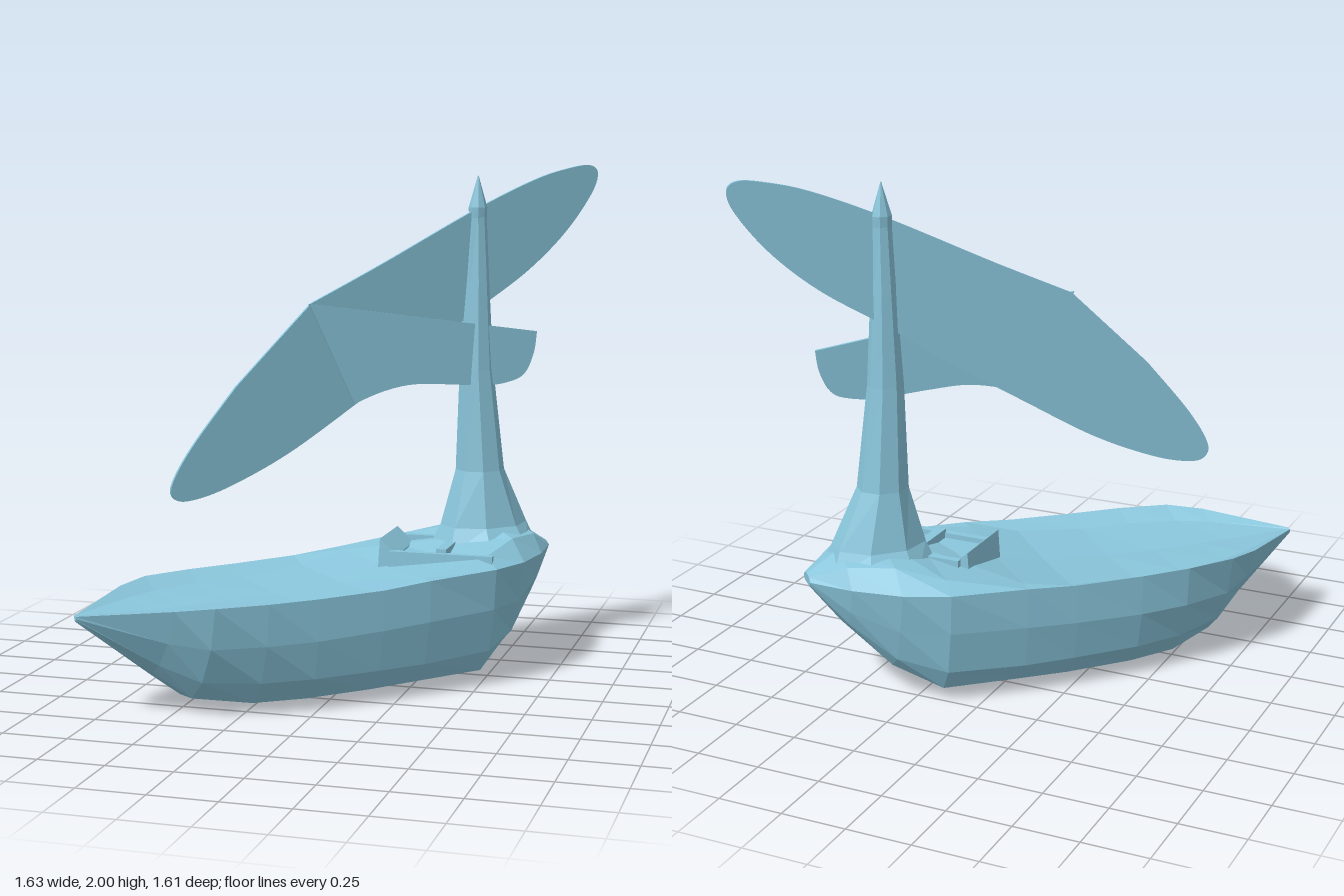
import * as THREE from 'three';

const material = new THREE.MeshStandardMaterial({ color: 0x8ac6dc, flatShading: true });
const sailMaterial = new THREE.MeshStandardMaterial({ color: 0x8ac6dc, side: THREE.DoubleSide });

function add(parent, name, geometry, mat = material) {
  const mesh = new THREE.Mesh(geometry, mat);
  mesh.name = name;
  parent.add(mesh);
  return mesh;
}

// Skin a series of closed rings of [x, y, z] points and cap both ends
function loft(rings) {
  const n = rings[0].length, last = (rings.length - 1) * n, index = [];
  for (let i = 0; i < rings.length - 1; i++) {
    for (let j = 0; j < n; j++) {
      const k = (j + 1) % n, a = i * n + j, b = i * n + k;
      index.push(a, b, b + n, a, b + n, a + n);
    }
  }
  for (let j = 1; j < n - 1; j++) index.push(0, j + 1, j, last, last + j, last + j + 1);
  let geometry = new THREE.BufferGeometry();
  geometry.setAttribute('position', new THREE.Float32BufferAttribute(rings.flat(2), 3));
  geometry.setIndex(index);
  geometry = geometry.toNonIndexed();
  geometry.computeVertexNormals();
  return geometry;
}

// Hull cross-sections: z, keel height, then half-width and height of
// bilge, lower side, middle side, rim, deck edge, and the deck centre height
const stations = [
  [-0.905, 0.45, 0.03, 0.45, 0.04, 0.455, 0.045, 0.46, 0.05, 0.47, 0.03, 0.485, 0.49],
  [-0.78, 0.28, 0.06, 0.29, 0.11, 0.31, 0.15, 0.37, 0.18, 0.47, 0.12, 0.54, 0.57],
  [-0.62, 0.13, 0.15, 0.13, 0.21, 0.18, 0.26, 0.31, 0.295, 0.47, 0.21, 0.55, 0.59],
  [-0.45, 0.045, 0.25, 0.05, 0.31, 0.14, 0.345, 0.31, 0.36, 0.47, 0.29, 0.51, 0.53],
  [-0.15, 0.03, 0.27, 0.05, 0.33, 0.13, 0.365, 0.3, 0.37, 0.46, 0.31, 0.46, 0.45],
  [0.05, 0.015, 0.27, 0.045, 0.33, 0.13, 0.365, 0.29, 0.368, 0.445, 0.3, 0.42, 0.41],
  [0.32, 0, 0.25, 0.04, 0.32, 0.13, 0.355, 0.28, 0.36, 0.44, 0.28, 0.4, 0.39],
  [0.52, 0.015, 0.21, 0.04, 0.28, 0.13, 0.335, 0.28, 0.35, 0.44, 0.27, 0.4, 0.385],
  [0.72, 0.05, 0.11, 0.06, 0.2, 0.14, 0.28, 0.28, 0.318, 0.44, 0.23, 0.4, 0.385],
  [0.85, 0.15, 0.05, 0.16, 0.11, 0.2, 0.19, 0.3, 0.248, 0.43, 0.17, 0.4, 0.385],
  [1.13, 0.375, 0.005, 0.378, 0.006, 0.38, 0.008, 0.385, 0.01, 0.395, 0.006, 0.395, 0.39],
];

function hullRing([z, keel, ...rest]) {
  const deck = rest.pop(), side = [];
  for (let i = 0; i < rest.length; i += 2) side.push([rest[i], rest[i + 1], z]);
  const mirrored = side.map(([x, y]) => [-x, y, z]).reverse();
  return [[0, keel, z], ...side, [0, deck, z], ...mirrored];
}

// Eight-sided mast rings: height, centre z, half-width, half-length
const mastLevels = [
  [0.48, -0.62, 0.2, 0.21], [0.58, -0.62, 0.13, 0.17], [0.8, -0.6, 0.085, 0.092],
  [1.2, -0.58, 0.055, 0.065], [1.55, -0.58, 0.04, 0.045], [1.8, -0.58, 0.025, 0.035],
  [1.84, -0.58, 0.028, 0.036], [1.965, -0.58, 0.001, 0.001],
];
const mastRing = ([y, z, rx, rz]) => Array.from({ length: 8 }, (_, i) => {
  const a = (i + 0.5) * Math.PI / 4;
  return [rx * Math.cos(a) * 1.08, y, z - rz * Math.sin(a) * 1.08];
});

// Thin sail drawn in the diagonal plane; sideways(x, y) gives its lean
function sail(shape, sideways) {
  const geometry = new THREE.ExtrudeGeometry(shape, { depth: 0.012, bevelEnabled: false, curveSegments: 16 });
  const p = geometry.attributes.position;
  for (let i = 0; i < p.count; i++) {
    const x = p.getX(i), y = p.getY(i), v = sideways(x, y);
    p.setXYZ(i, v + p.getZ(i) - 0.006, y, v - x * Math.SQRT2);
  }
  geometry.computeVertexNormals();
  return geometry;
}

const vectors = (points) => points.map(([x, y]) => new THREE.Vector2(x, y));

export function createModel() {
  const model = new THREE.Group();
  model.name = 'sailboat';

  // The boat lies on the diagonal, bow towards -x +z
  const boat = new THREE.Group();
  boat.name = 'boat';
  boat.rotation.y = -Math.PI / 4;
  model.add(boat);

  add(boat, 'hull', loft(stations.map(hullRing)));
  add(boat, 'mast', loft(mastLevels.map(mastRing)));

  // Long leaf-shaped sail
  const leaf = new THREE.Shape();
  leaf.moveTo(-0.12, 1.49);
  leaf.splineThru(vectors([[0.1, 1.63], [0.4, 1.83], [0.6, 1.945], [0.72, 1.99], [0.79, 2.0],
    [0.815, 1.965], [0.79, 1.88], [0.7, 1.73], [0.57, 1.58], [0.39, 1.425], [0.235, 1.28], [0.02, 1.1],
    [-0.2, 0.92], [-0.38, 0.81], [-0.49, 0.77], [-0.54, 0.78], [-0.545, 0.84], [-0.48, 0.98], [-0.35, 1.19]]));
  leaf.lineTo(-0.12, 1.49);
  add(boat, 'mainSail', sail(leaf, (x, y) => -0.057 + 0.058 * (y - 0.77)), sailMaterial);

  // Smaller sail crossing the mast
  const panel = new THREE.Shape();
  panel.moveTo(-0.12, 1.49);
  panel.lineTo(0.62, 1.345);
  panel.splineThru(vectors([[0.61, 1.26], [0.58, 1.18], [0.53, 1.15], [0.45, 1.14], [0.3, 1.155],
    [0.2, 1.16], [0.11, 1.14], [0.02, 1.1]]));
  panel.lineTo(-0.12, 1.49);
  add(boat, 'crossSail', sail(panel, (x) => 0.045 * (x + 0.12) / 0.74), sailMaterial);

  // Cockpit: seat platform with low walls around two wells
  const cockpit = new THREE.Group();
  cockpit.name = 'cockpit';
  model.add(cockpit);
  const block = (name, x0, x1, y0, y1, z0, z1) => {
    const mesh = add(cockpit, name, new THREE.BoxGeometry(x1 - x0, y1 - y0, z1 - z0));
    mesh.position.set((x0 + x1) / 2, (y0 + y1) / 2, (z0 + z1) / 2);
  };
  block('cockpitFloor', 0.13, 0.52, 0.4, 0.495, -0.37, -0.1);
  block('cockpitSideWall', 0.14, 0.55, 0.4, 0.515, -0.11, -0.08);
  block('cockpitBackWall', 0.13, 0.34, 0.4, 0.53, -0.385, -0.355);
  block('cockpitDivider', 0.325, 0.365, 0.4, 0.53, -0.37, -0.1);

  // Wedge-shaped front wall of the cockpit
  const wedge = new THREE.Shape(vectors([[0.09, 0.4], [0.2, 0.4], [0.17, 0.5], [0.1, 0.56]]));
  const wall = add(cockpit, 'cockpitFrontWall',
    new THREE.ExtrudeGeometry(wedge, { depth: 0.27, bevelEnabled: false }));
  wall.position.z = -0.365;

  return model;
}
